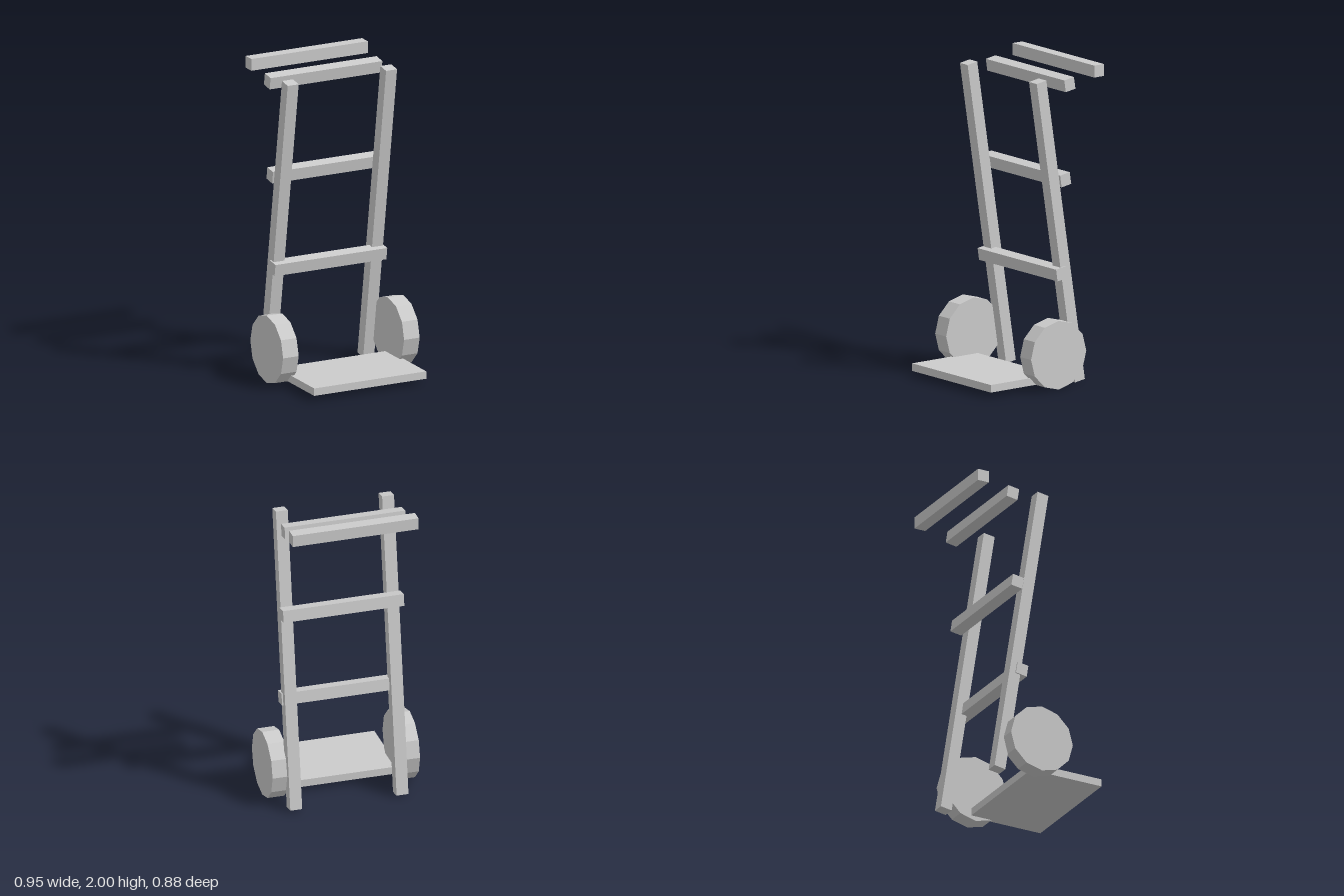
import * as THREE from 'three';

export function createModel() {
  const model = new THREE.Group();
  model.name = 'handTruck';
  const material = new THREE.MeshStandardMaterial({ color: 0xcccccc, flatShading: true });
  const lean = 0.156; // forward tilt of the frame

  function add(name, geometry, x, y, z, tilt = 0) {
    const mesh = new THREE.Mesh(geometry, material);
    mesh.name = name;
    mesh.position.set(x, y, z);
    mesh.rotation.x = tilt;
    model.add(mesh);
    return mesh;
  }

  // Leaning side rails and wheels, mirrored left and right
  const railGeometry = new THREE.BoxGeometry(0.077, 1.958, 0.077);
  const wheelGeometry = new THREE.CylinderGeometry(0.218, 0.218, 0.109, 12).rotateZ(Math.PI / 2);
  for (const [side, s] of [['left', 1], ['right', -1]]) {
    add(side + 'Rail', railGeometry, s * 0.344, 0.978, -0.12, lean);
    add(side + 'Wheel', wheelGeometry, s * 0.423, 0.223, -0.028);
  }

  // Crossbars, tilted with the frame: [name, y, z]
  const barGeometry = new THREE.BoxGeometry(0.782, 0.077, 0.077);
  for (const [name, y, z] of [
    ['lowerCrossbar', 0.711, -0.12],
    ['middleCrossbar', 1.303, -0.152],
    ['upperCrossbar', 1.902, -0.185],
  ]) add(name, barGeometry, 0, y, z, lean);

  // Level handle bar behind the frame
  add('handle', new THREE.BoxGeometry(0.814, 0.076, 0.076), 0, 1.962, -0.403);

  // Load plate at the foot
  add('loadPlate', new THREE.BoxGeometry(0.784, 0.048, 0.5), 0, 0.06, 0.19);

  return model;
}
